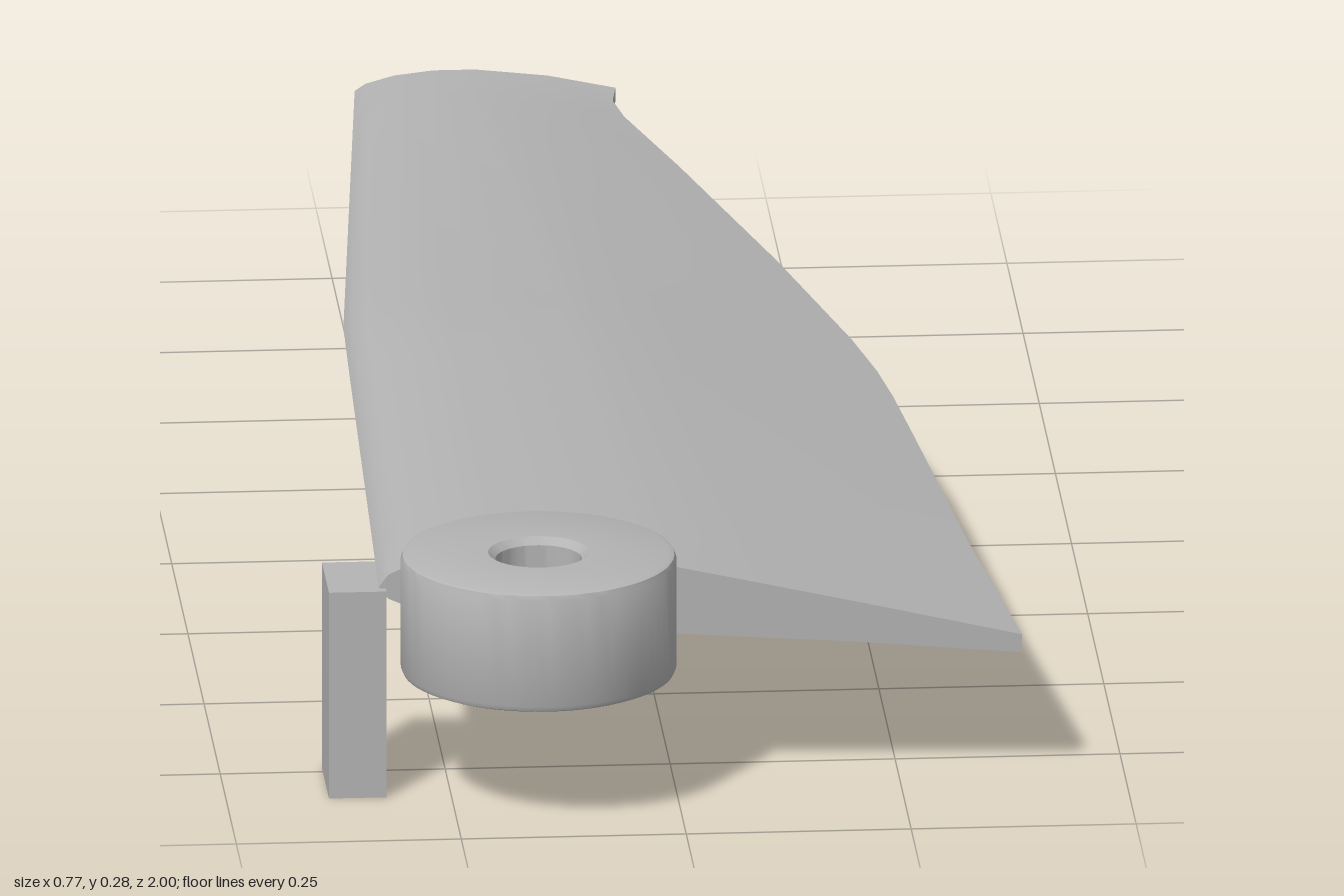
import * as THREE from 'three';
import { toCreasedNormals } from 'three/addons/utils/BufferGeometryUtils.js';

const HUB = { x: -0.153, z: 0.845, r: 0.153 };

// Linear lookup in a list of [key, value] pairs with rising keys
function lookup(table, k) {
  let i = 1;
  while (i < table.length - 1 && table[i][0] < k) i++;
  const [k0, v0] = table[i - 1], [k1, v1] = table[i];
  return THREE.MathUtils.lerp(v0, v1, THREE.MathUtils.clamp((k - k0) / (k1 - k0), 0, 1));
}

// Plan outline of the blade: z to x
const leftEdge = [[-1, -0.225], [-0.1, -0.302], [0, -0.306], [0.835, -0.33]];
const rightEdge = [[-1, 0.065], [-0.96, 0.059], [-0.91, 0.068], [-0.75, 0.118], [-0.45, 0.205], [-0.2, 0.27],
  [-0.1, 0.291], [-0.02, 0.303], [0.1, 0.314], [0.5, 0.349], [0.835, 0.385]];

// Section heights across the chord, at the root and at the tip
const rootTop = [[0, 0.242], [0.015, 0.256], [0.04, 0.264], [0.15, 0.273], [0.3, 0.269], [0.46, 0.258], [0.74, 0.213], [1, 0.17]];
const rootLow = [[0, 0.242], [0.015, 0.228], [0.04, 0.22], [0.15, 0.202], [0.3, 0.189], [0.46, 0.18], [0.74, 0.166], [1, 0.149]];
const tipTop = [[0, 0.218], [0.04, 0.226], [0.15, 0.235], [0.3, 0.24], [0.46, 0.24], [0.74, 0.231], [1, 0.215]];
const tipLow = [[0, 0.218], [0.04, 0.207], [0.15, 0.209], [0.46, 0.215], [0.74, 0.21], [1, 0.2]];

function bladeGeometry() {
  const ts = [0, 0.015, 0.04, 0.1, 0.15, 0.2, 0.25, 0.3, 0.35, 0.4, 0.46, 0.6, 0.74, 0.87, 1];
  const zs = [0.835, 0.7, 0.5, 0.3, 0.1, -0.02, -0.1, -0.2, -0.32, -0.45, -0.6, -0.75, -0.84, -0.91, -0.96, -1];
  const last = ts.length - 1;
  const n = 2 * ts.length - 1;
  const pos = [], index = [];

  zs.forEach((z, i) => {
    const w = THREE.MathUtils.clamp((-0.02 - z) / 0.98, 0, 1);
    const xl = lookup(leftEdge, z), xr = lookup(rightEdge, z);
    for (let j = 0; j < n; j++) {
      const top = j <= last;
      const t = top ? ts[j] : ts[n - j];
      const x = THREE.MathUtils.lerp(xl, xr, t);
      const y = THREE.MathUtils.lerp(lookup(top ? rootTop : rootLow, t), lookup(top ? tipTop : tipLow, t), w);
      // The root end is notched inside the hub so the bore stays open
      const d = 0.1 ** 2 - (x - HUB.x) ** 2;
      pos.push(x, y, i === 0 && d > 0 ? Math.min(z, HUB.z - Math.sqrt(d)) : z);
    }
  });

  // Skin
  for (let i = 0; i < zs.length - 1; i++) {
    for (let j = 0; j < n; j++) {
      const a = i * n + j, b = i * n + (j + 1) % n;
      index.push(a, b, b + n, a, b + n, a + n);
    }
  }
  // End faces, as strips between upper and lower points
  const end = (base, flip) => {
    const tri = (a, b, c) => (flip ? index.push(base + a, base + c, base + b) : index.push(base + a, base + b, base + c));
    tri(0, n - 1, 1);
    for (let j = 1; j < last; j++) {
      tri(j, n - j, n - j - 1);
      tri(j, n - j - 1, j + 1);
    }
  };
  end(0, false);
  end((zs.length - 1) * n, true);

  const g = new THREE.BufferGeometry();
  g.setAttribute('position', new THREE.Float32BufferAttribute(pos, 3));
  g.setIndex(index);
  return toCreasedNormals(g, 0.6);
}

// Ring with softened rims and a bore
function hubGeometry() {
  const y0 = 0.143, y1 = 0.282, R = HUB.r, r = 0.048;
  const c = 0.008, m = c * 0.3;
  const profile = [
    [r, y0 + c], [r + c, y0], [R - c, y0], [R - m, y0 + m], [R, y0 + c],
    [R, y1 - c], [R - m, y1 - m], [R - c, y1], [r + c, y1], [r, y1 - c], [r, y0 + c],
  ].map(([x, y]) => new THREE.Vector2(x, y));
  return toCreasedNormals(new THREE.LatheGeometry(profile, 64), 0.6);
}

export function createModel() {
  const model = new THREE.Group();
  model.name = 'bladeWithHub';
  const gray = new THREE.MeshStandardMaterial({ color: 0xb4b4b4 });
  gray.name = 'plain gray';

  const add = (name, geometry, x = 0, y = 0, z = 0) => {
    const mesh = new THREE.Mesh(geometry, gray);
    mesh.name = name;
    mesh.position.set(x, y, z);
    model.add(mesh);
  };
  add('blade', bladeGeometry());
  add('hub', hubGeometry(), HUB.x, 0, HUB.z);
  add('post', new THREE.BoxGeometry(0.064, 0.24, 0.108), -0.354, 0.12, 0.792);
  return model;
}
